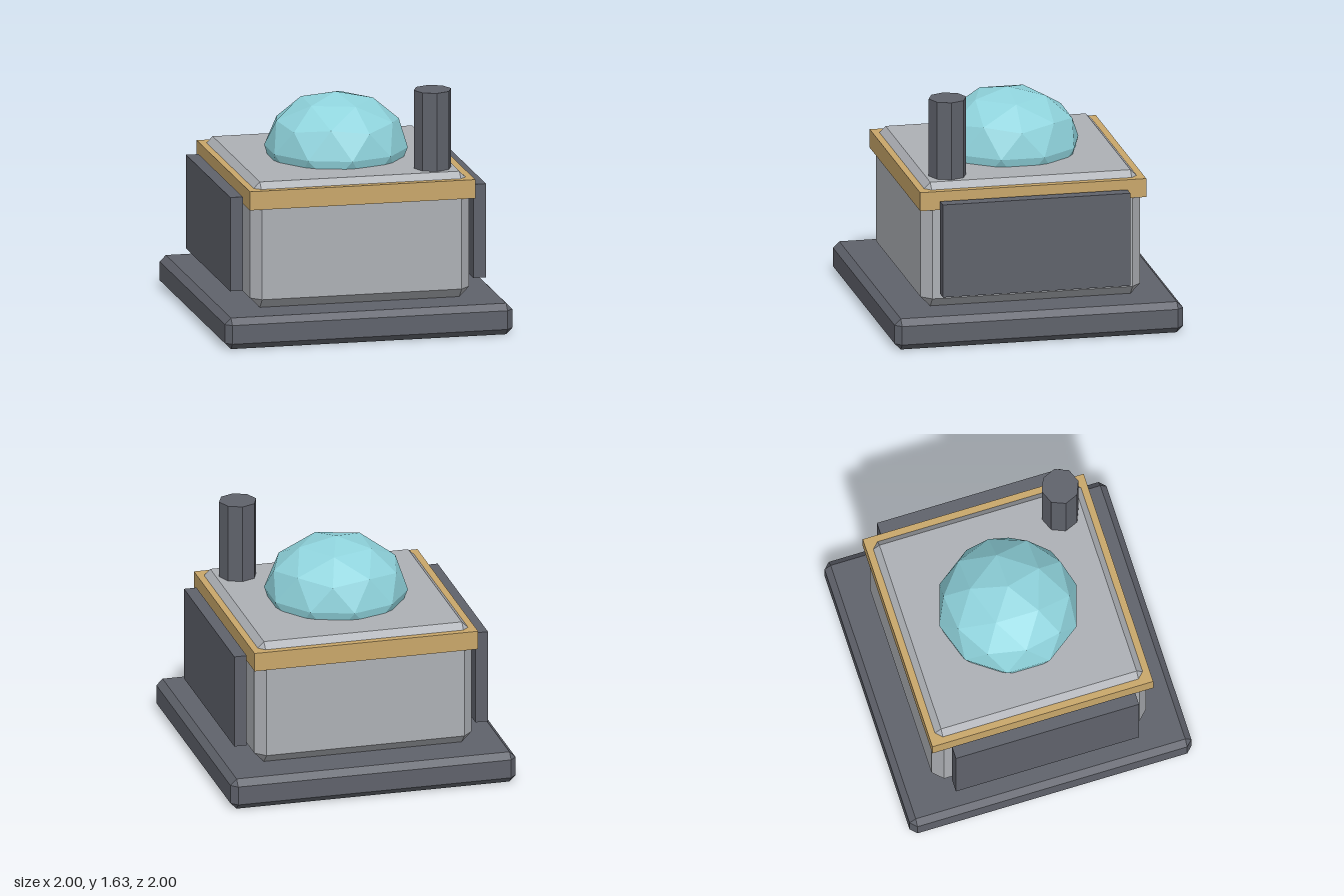
import * as THREE from 'three';
import { ConvexGeometry } from 'three/addons/geometries/ConvexGeometry.js';

const mat = (name, color) => {
  const m = new THREE.MeshStandardMaterial({ color, flatShading: true });
  m.name = name;
  return m;
};

// Box with flat chamfers on every edge: each corner becomes a small triangle
function chamferBox(w, h, d, c) {
  const half = [w / 2, h / 2, d / 2];
  const points = [];
  for (const sx of [-1, 1]) for (const sy of [-1, 1]) for (const sz of [-1, 1]) {
    for (let axis = 0; axis < 3; axis++) {
      const p = half.map((v, i) => (i === axis ? v : v - c));
      points.push(new THREE.Vector3(p[0] * sx, p[1] * sy, p[2] * sz));
    }
  }
  return new ConvexGeometry(points);
}

export function createModel() {
  const group = new THREE.Group();
  group.name = 'domedBunker';

  const dark = mat('dark slate', 0x5f626b);
  const grey = mat('light grey', 0xadb0b5);
  const gold = mat('ochre', 0xc9a76a);
  const glass = mat('pale teal', 0x8fd3dc);

  const add = (name, geometry, material, x, y, z) => {
    const mesh = new THREE.Mesh(geometry, material);
    mesh.name = name;
    mesh.position.set(x, y, z);
    group.add(mesh);
    return mesh;
  };

  // Plinth and main block
  add('basePlate', chamferBox(2, 0.216, 2, 0.043), dark, 0, 0.108, 0);
  add('body', chamferBox(1.524, 0.872, 1.524, 0.068), grey, 0, 0.652, 0);

  // Trim band around the top of the block
  add('trimBand', new THREE.BoxGeometry(1.568, 0.13, 1.568), gold, 0, 0.98, 0);

  // Side panels, standing slightly off the walls
  for (const side of [-1, 1]) {
    add(side > 0 ? 'leftPanel' : 'rightPanel',
      new THREE.BoxGeometry(0.087, 0.652, 1.3), dark, side * 0.846, 0.654, 0);
  }

  // Faceted dome: a flattened icosphere turned so one corner points up
  const dome = new THREE.IcosahedronGeometry(1, 1);
  dome.rotateZ(-Math.atan(2 / (1 + Math.sqrt(5))));
  dome.scale(0.488, 0.38, 0.488);
  dome.computeVertexNormals();
  add('dome', dome, glass, 0, 1.142, 0);

  // Eight-sided chimney on the front left corner
  add('chimney', new THREE.CylinderGeometry(0.13, 0.13, 0.56, 8), dark, 0.543, 1.351, 0.541);

  return group;
}
